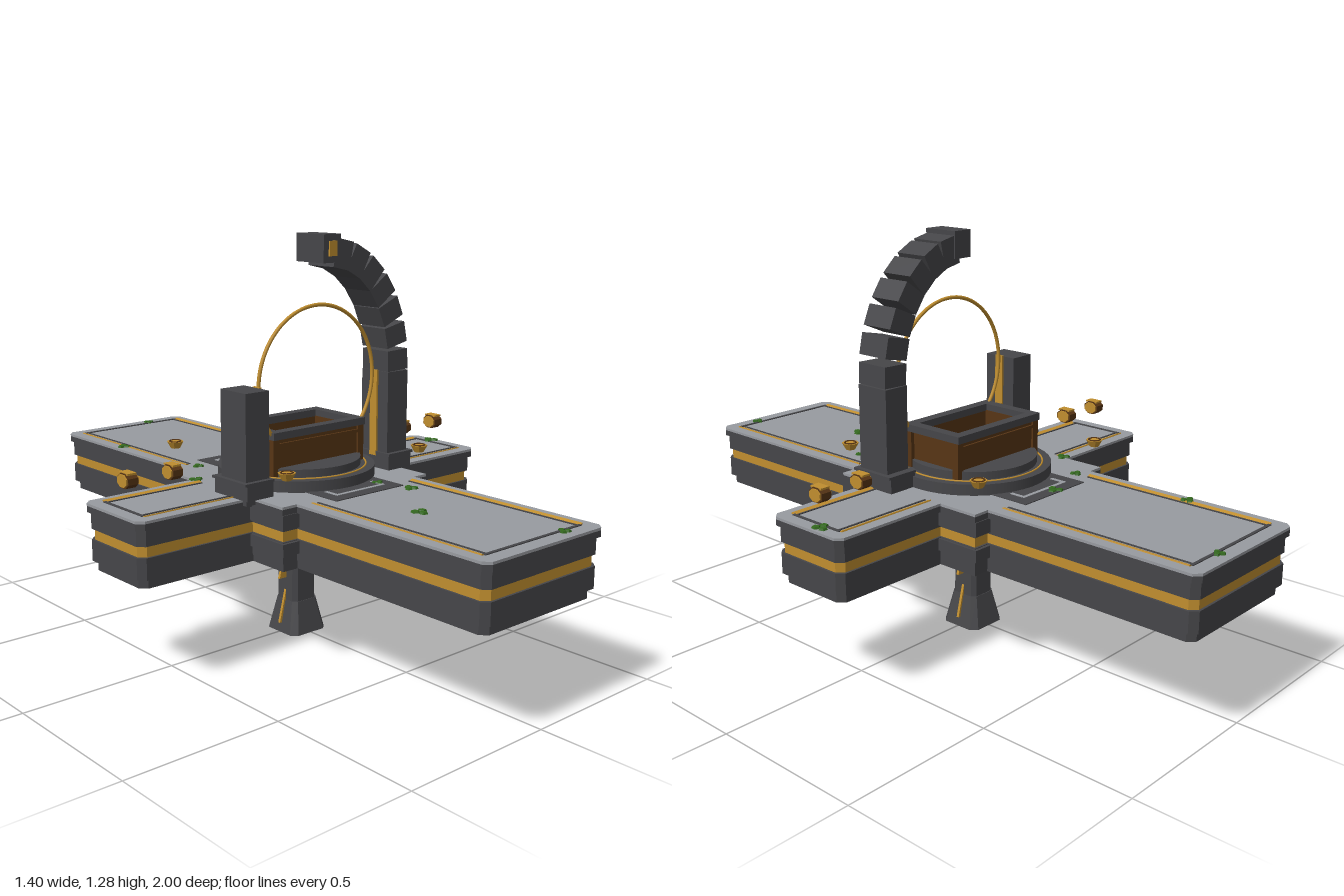
import * as THREE from 'three';

const mat = (name, color) => Object.assign(new THREE.MeshStandardMaterial({ color }), { name });

export function createModel() {
  const root = new THREE.Group();
  const stone = mat('dark stone', 0x464649);
  const slab = mat('grey slab', 0x989ba0);
  const gold = mat('gold', 0xc08e2f);
  const wood = mat('brown wood', 0x573515);
  const moss = mat('moss green', 0x33691e);

  const add = (name, geo, m, x = 0, y = 0, z = 0, parent = root) => {
    const mesh = new THREE.Mesh(geo, m);
    mesh.name = name;
    mesh.position.set(x, y, z);
    parent.add(mesh);
    return mesh;
  };
  // box given by its limits on each axis
  const span = (name, m, x0, x1, y0, y1, z0, z1) =>
    add(name, new THREE.BoxGeometry(x1 - x0, y1 - y0, z1 - z0), m, (x0 + x1) / 2, (y0 + y1) / 2, (z0 + z1) / 2);
  const flat = (geo) => {
    const g = geo.toNonIndexed();
    g.computeVertexNormals();
    return g;
  };
  // square tapering block with chamfered corners, half widths at top and bottom
  const taper = (top, bottom, h) => {
    const k = 1 / Math.cos(Math.PI / 8);
    const g = new THREE.CylinderGeometry(top * k, bottom * k, h, 8).rotateY(Math.PI / 8);
    const p = g.attributes.position;
    for (let i = 0; i < p.count; i++) {
      const x = p.getX(i), z = p.getZ(i);
      if (Math.abs(x) < Math.abs(z)) p.setX(i, x * 1.75);
      else p.setZ(i, z * 1.75);
    }
    return flat(g);
  };

  // Cross-shaped platform: one quadrant of the outline mirrored four ways
  const crossShape = (d) => {
    const c = 0.02;
    const q = [[0.698 - d, 0.145 - d - c], [0.698 - d - c, 0.145 - d], [0.3 - d, 0.145 - d], [0.3 - d, 0.285 - d],
      [0.245 - d, 0.285 - d], [0.245 - d, 1 - d - c], [0.245 - d - c, 1 - d]];
    const r = [...q].reverse();
    const pts = [...q, ...r.map(([x, y]) => [-x, y]), ...q.map(([x, y]) => [-x, -y]), ...r.map(([x, y]) => [x, -y])];
    return new THREE.Shape(pts.map(([x, y]) => new THREE.Vector2(x, y)));
  };
  const layers = [
    ['platformFoot', stone, 0.316, 0.345, 0.02],
    ['lowerCourse', stone, 0.345, 0.41, 0.008],
    ['goldBand', gold, 0.41, 0.443, 0.015],
    ['upperCourse', stone, 0.443, 0.493, 0.008],
    ['lip', stone, 0.493, 0.512, 0],
    ['topSlab', slab, 0.512, 0.52, 0],
  ];
  for (const [name, m, y0, y1, d] of layers) {
    const g = new THREE.ExtrudeGeometry(crossShape(d), { depth: y1 - y0, bevelEnabled: false });
    add(name, g.rotateX(-Math.PI / 2), m, 0, y0, 0);
  }

  // Corner buttresses and floating corner bowls
  for (const sx of [-1, 1]) for (const sz of [-1, 1]) {
    for (const [y, h] of [[0.389, 0.038], [0.472, 0.045]])
      add('cornerButtress', new THREE.BoxGeometry(0.062, h, 0.16), stone, sx * 0.269, y, sz * 0.208);
    add('cornerBowl', flat(new THREE.CylinderGeometry(0.027, 0.015, 0.022, 8)), gold, sx * 0.275, 0.606, sz * 0.275);
    add('cornerBowlRim', new THREE.TorusGeometry(0.018, 0.003, 4, 16).rotateX(Math.PI / 2), wood, sx * 0.275, 0.617, sz * 0.275);
  }

  // Floating barrel lamps over the short arms, gold ends and top
  for (const x of [-0.635, -0.48, 0.48, 0.635]) {
    const lamp = new THREE.Group();
    lamp.name = 'lamp';
    lamp.position.set(x, 0.603, 0);
    root.add(lamp);
    const barrel = new THREE.CylinderGeometry(0.024, 0.024, 0.034, 8).rotateZ(Math.PI / 2).rotateX(Math.PI / 8);
    add('lampBarrel', flat(barrel.scale(1, 1, 1.25)), wood, 0, 0, 0, lamp);
    for (const s of [-1, 1]) {
      const end = new THREE.CylinderGeometry(0.02, 0.02, 0.005, 8).rotateZ(Math.PI / 2).rotateX(Math.PI / 8);
      add('lampEnd', flat(end.scale(1, 1, 1.25)), gold, s * 0.019, 0, 0, lamp);
    }
    add('lampTop', new THREE.BoxGeometry(0.03, 0.006, 0.046), gold, 0, 0.021, 0, lamp);
  }

  // Inlaid borders: gold strips tilted inwards along the sides, dark lines beside and across
  for (const s of [-1, 1]) {
    for (const t of [-1, 1]) {
      const long = add('longInlay', new THREE.BoxGeometry(0.015, 0.004, 0.64), gold, t * 0.203, 0.5205, s * 0.63);
      long.rotation.z = t * 0.35;
      add('longInlayLine', new THREE.BoxGeometry(0.006, 0.004, 0.63), stone, t * 0.19, 0.5205, s * 0.63);
      const short = add('shortInlay', new THREE.BoxGeometry(0.35, 0.004, 0.015), gold, s * 0.478, 0.5205, t * 0.103);
      short.rotation.x = -t * 0.35;
      add('shortInlayLine', new THREE.BoxGeometry(0.34, 0.004, 0.006), stone, s * 0.478, 0.5205, t * 0.09);
    }
    add('longInlayEnd', new THREE.BoxGeometry(0.4, 0.004, 0.01), stone, 0, 0.5205, s * 0.95);
    add('shortInlayEnd', new THREE.BoxGeometry(0.01, 0.004, 0.2), stone, s * 0.653, 0.5205, 0);
    // dark threshold with a pale outline beside the dais
    add('threshold', new THREE.BoxGeometry(0.28, 0.004, 0.14), stone, 0, 0.5205, s * 0.27);
    add('thresholdLine', new THREE.BoxGeometry(0.2, 0.003, 0.012), slab, 0, 0.5225, s * 0.295);
    for (const x of [-0.095, 0.095])
      add('thresholdLine', new THREE.BoxGeometry(0.012, 0.003, 0.05), slab, x, 0.5225, s * 0.27);
  }

  // Round dais
  const disc = (name, m, r, y0, y1) => add(name, new THREE.CylinderGeometry(r, r, y1 - y0, 40), m, 0, (y0 + y1) / 2, 0);
  disc('daisStep', stone, 0.25, 0.52, 0.555);
  disc('daisTop', stone, 0.205, 0.555, 0.58);
  add('daisRing', new THREE.TorusGeometry(0.222, 0.003, 6, 48).rotateX(Math.PI / 2), gold, 0, 0.556, 0);
  disc('basinFloor', slab, 0.085, 0.58, 0.586);
  for (let i = -1; i <= 1; i++)
    add('basinSlat', new THREE.BoxGeometry(0.125, 0.008, 0.033), stone, 0, 0.59, i * 0.037);

  // Open wooden chest with dark rim
  for (const s of [-1, 1]) {
    add('chestLongWall', new THREE.BoxGeometry(0.35, 0.115, 0.02), wood, 0, 0.615, s * 0.095);
    add('chestEndWall', new THREE.BoxGeometry(0.02, 0.115, 0.17), wood, s * 0.165, 0.615, 0);
    add('chestLongRim', new THREE.BoxGeometry(0.38, 0.023, 0.034), stone, 0, 0.682, s * 0.1);
    add('chestEndRim', new THREE.BoxGeometry(0.034, 0.023, 0.166), stone, s * 0.173, 0.682, 0);
    add('chestTrim', new THREE.BoxGeometry(0.36, 0.01, 0.01), wood, 0, 0.652, s * 0.107);
    for (const z of [-0.1, 0.1])
      add('chestLeg', new THREE.BoxGeometry(0.024, 0.135, 0.024), wood, s * 0.176, 0.605, z);
  }

  // Twin posts with flanges and gold inner strips
  for (const s of [-1, 1]) {
    add('postFlange', new THREE.BoxGeometry(0.1, 0.05, 0.155), stone, s * 0.291, 0.545, 0.098);
    add('flangeCap', new THREE.BoxGeometry(0.11, 0.008, 0.16), stone, s * 0.294, 0.57, 0.098);
    add('post', new THREE.BoxGeometry(0.088, 0.335, 0.118), stone, s * 0.29, 0.67, 0.103);
    add('postStrip', new THREE.BoxGeometry(0.008, 0.28, 0.03), gold, s * 0.243, 0.7, 0.103);
  }

  // Curved arm of separate blocks, ending in a head block
  for (let i = 0; i < 7; i++) {
    const a = 0.04 + i * 0.226;
    const block = add('archBlock', new THREE.BoxGeometry(0.088, 0.066, 0.114), stone,
      0.29 * Math.cos(a), 0.858 + 0.365 * Math.sin(a), 0.103);
    block.rotation.z = Math.atan2(0.29 * Math.sin(a), 0.365 * Math.cos(a));
  }
  span('archHead', stone, -0.035, 0.035, 1.195, 1.28, 0.042, 0.164);
  span('headPlate', gold, -0.015, 0.015, 1.215, 1.26, 0.162, 0.17);

  // Thin gold hoop, its lower ends meeting the chest
  const dip = 0.68;
  add('hoop', new THREE.TorusGeometry(0.235, 0.006, 8, 64, Math.PI + 2 * dip).rotateZ(-dip), gold, 0, 0.83, 0.1);

  // Central pillar below, with gold fins
  add('pillarFoot', taper(0.05, 0.073, 0.105), stone, 0, 0.0525, 0);
  add('pillarShaft', taper(0.044, 0.048, 0.22), stone, 0, 0.212, 0);
  add('pillarCollar', taper(0.05, 0.047, 0.03), stone, 0, 0.303, 0);
  const fin = (y0, y1, x) => {
    const s = new THREE.Shape([[0.03, y0], [x, y0], [0.047, y1], [0.03, y1]].map((p) => new THREE.Vector2(...p)));
    return new THREE.ExtrudeGeometry(s, { depth: 0.009, bevelEnabled: false }).translate(0, 0, -0.0045);
  };
  for (const turn of [0, Math.PI]) for (const [y0, y1, x] of [[0.18, 0.285, 0.074], [0.03, 0.14, 0.074]])
    add('pillarFin', fin(y0, y1, x), gold).rotation.y = turn;

  // Moss tufts: small overlapping clumps
  const tufts = [[0.085, -0.96], [-0.215, -0.67], [-0.02, -0.32], [-0.19, -0.27], [-0.3, -0.13],
    [0.67, -0.04], [0.1, 0.27], [0.13, 0.38], [-0.04, 0.58], [0.115, 0.96]];
  tufts.forEach(([x, z], i) => {
    const r = 0.01 + (i % 3) * 0.002;
    for (const k of [0, 1, 2]) {
      const a = i + k * 2.1;
      add('moss', flat(new THREE.CylinderGeometry(r * 0.8, r, 0.006, 5)), moss,
        x + r * Math.cos(a), 0.5235, z + r * Math.sin(a)).rotation.y = a;
    }
  });
  return root;
}
